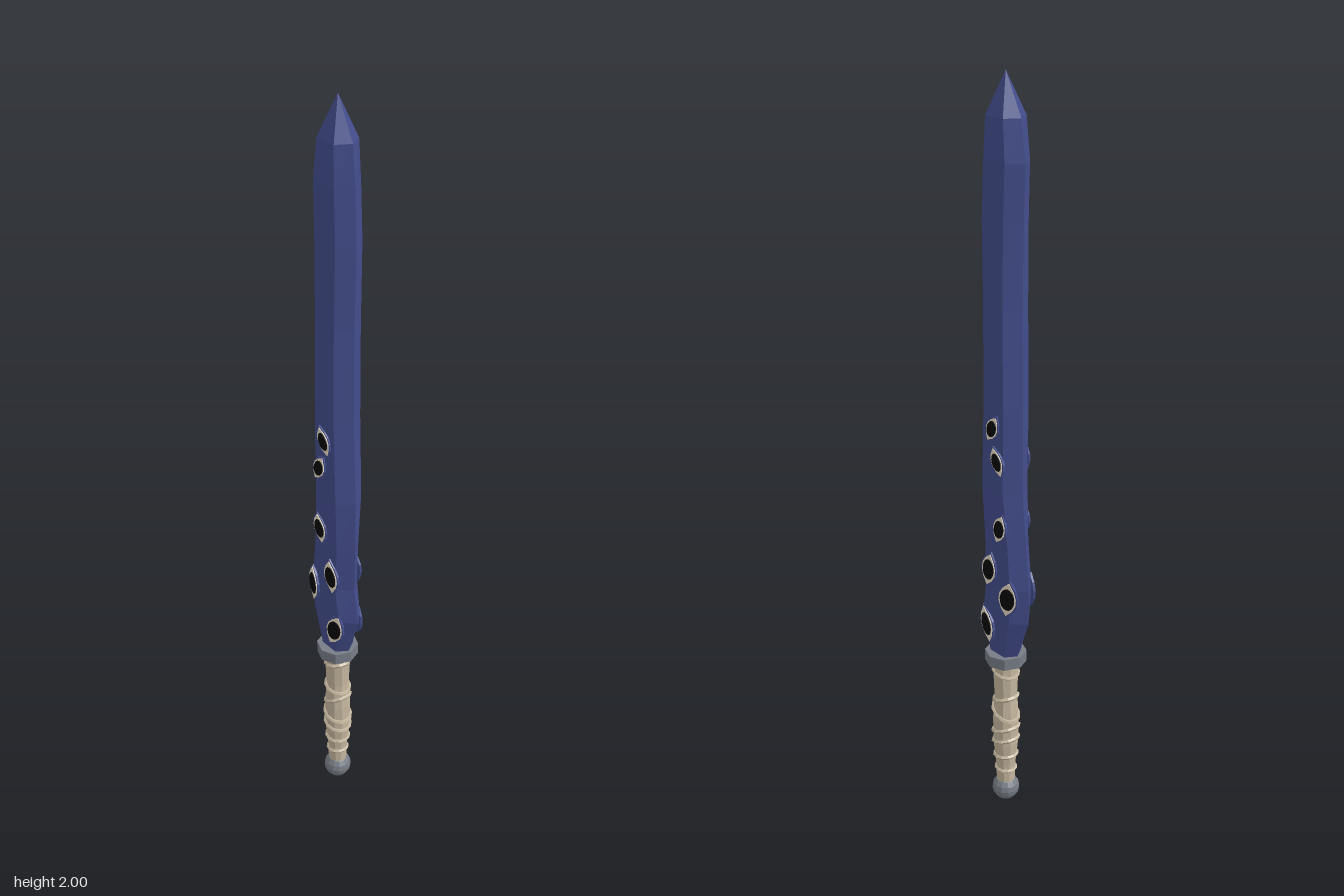
import * as THREE from 'three';

const mat = (name, color) => Object.assign(new THREE.MeshStandardMaterial({ color }), { name });

// Blade stations: height, left edge, right edge, half thickness
const STATIONS = [
  [0.48, -0.045, 0.046, 0.03], [0.6, -0.089, 0.086, 0.036], [0.7, -0.091, 0.068, 0.037],
  [0.82, -0.078, 0.071, 0.036], [0.97, -0.064, 0.071, 0.042], [1.2, -0.064, 0.062, 0.042],
  [1.45, -0.06, 0.061, 0.041], [1.66, -0.063, 0.067, 0.04], [1.8, -0.067, 0.061, 0.039],
  [1.9, -0.053, 0.052, 0.036], [2.0, 0, 0, 0],
];
const FLAT = 0.58; // share of the width taken by the flat face

// Hexagonal cross-sections joined into faceted walls
function bladeGeometry() {
  const rings = STATIONS.map(([y, l, r, d]) => {
    const c = (l + r) / 2, f = (r - l) / 2 * FLAT;
    return [[r, 0], [c + f, -d], [c - f, -d], [l, 0], [c - f, d], [c + f, d]].map(([x, z]) => [x, y, z]);
  });
  const pos = [];
  for (let i = 0; i < rings.length - 1; i++) {
    for (let j = 0; j < 6; j++) {
      const k = (j + 1) % 6, a = rings[i][j], b = rings[i][k], c = rings[i + 1][k], d = rings[i + 1][j];
      pos.push(...a, ...b, ...c);
      if (i < rings.length - 2) pos.push(...a, ...c, ...d);
    }
  }
  for (let j = 1; j < 5; j++) pos.push(...rings[0][0], ...rings[0][j + 1], ...rings[0][j]);
  const g = new THREE.BufferGeometry();
  g.setAttribute('position', new THREE.Float32BufferAttribute(pos, 3));
  g.computeVertexNormals();
  return g;
}

// Depth of the blade surface at a point of the front
function surfaceZ(x, y) {
  const i = STATIONS.findIndex((s) => s[0] > y), a = STATIONS[i - 1], b = STATIONS[i];
  const t = (y - a[0]) / (b[0] - a[0]);
  const [, l, r, d] = a.map((v, k) => v + (b[k] - v) * t);
  const u = Math.abs(x - (l + r) / 2) / ((r - l) / 2);
  return u < FLAT ? d : d * (1 - u) / (1 - FLAT);
}

// Pointed almond plate
function almond(w, h, depth) {
  const s = new THREE.Shape();
  s.moveTo(0, -h);
  s.quadraticCurveTo(w * 1.7, -h * 0.1, 0, h);
  s.quadraticCurveTo(-w * 1.7, h * 0.1, 0, -h);
  return new THREE.ExtrudeGeometry(s, { depth, bevelEnabled: false, curveSegments: 5 });
}

export function createModel() {
  const model = new THREE.Group();
  model.name = 'sword';
  const blue = mat('blade blue', 0x434d8c);
  const bone = mat('grip bone', 0xc6b8a0);
  const steel = mat('steel grey', 0x777c85);
  const white = mat('eye ivory', 0xe6dac4);
  const black = mat('eye black', 0x08080a);
  blue.flatShading = bone.flatShading = steel.flatShading = true;

  const add = (parent, name, geometry, material, x = 0, y = 0, z = 0) => {
    const m = new THREE.Mesh(geometry, material);
    m.name = name;
    m.position.set(x, y, z);
    parent.add(m);
    return m;
  };

  add(model, 'blade', bladeGeometry(), blue);

  // Guard and pommel
  add(model, 'guard', new THREE.CylinderGeometry(0.056, 0.056, 0.032, 8), steel, 0, 0.468, 0);
  add(model, 'pommel', new THREE.SphereGeometry(0.038, 12, 8), steel, 0, 0.038, 0);

  // Grip with a swollen middle
  const grip = [[0.025, 0.06], [0.027, 0.12], [0.034, 0.19], [0.035, 0.27], [0.031, 0.35], [0.034, 0.42], [0.033, 0.456]];
  add(model, 'grip', new THREE.LatheGeometry(grip.map(([r, y]) => new THREE.Vector2(r, y)), 10), bone);

  // Slanting grip wraps: height, radius, tilt
  const wraps = [[0.105, 0.026, 0.05], [0.15, 0.03, -0.1], [0.2, 0.034, -0.3], [0.235, 0.035, -0.35],
    [0.29, 0.034, 0.5], [0.335, 0.032, -0.3], [0.42, 0.033, 0.25]];
  for (const [y, r, tilt] of wraps) {
    const wrap = add(model, 'gripWrap', new THREE.TorusGeometry(r, 0.006, 5, 12).rotateX(Math.PI / 2), bone, 0, y, 0);
    wrap.rotation.z = tilt;
    wrap.scale.x = 1 / Math.cos(tilt);
  }

  // Eyes on both faces: x, y, roll, turn, size
  const eyes = [[0, 1.14, 0.45, 0, 0.82], [-0.018, 1.055, -0.4, 0, 0.82], [-0.022, 0.868, 0.25, 0, 0.9],
    [0.021, 0.735, 0.15, 0, 1.05], [-0.05, 0.675, 0.1, -0.3, 1.1], [0.032, 0.565, -0.3, 0.15, 1.1]];
  const lid = almond(0.033, 0.051, 0.006);
  const ball = almond(0.028, 0.045, 0.005);
  const iris = new THREE.SphereGeometry(1, 14, 8).scale(0.02, 0.029, 0.005);
  for (const side of [1, -1]) {
    for (const [x, y, roll, turn, size] of eyes) {
      const eye = new THREE.Group();
      eye.name = side > 0 ? 'frontEye' : 'backEye';
      eye.position.set(x, y, side * (surfaceZ(x, y) - 0.002));
      eye.rotation.set(0, side > 0 ? turn : Math.PI - turn, side * roll);
      eye.scale.set(size, size, 1);
      add(eye, 'eyelid', lid, blue);
      add(eye, 'eyeball', ball, white, 0, 0, 0.003);
      add(eye, 'iris', iris, black, 0, 0, 0.008);
      model.add(eye);
    }
  }
  return model;
}
